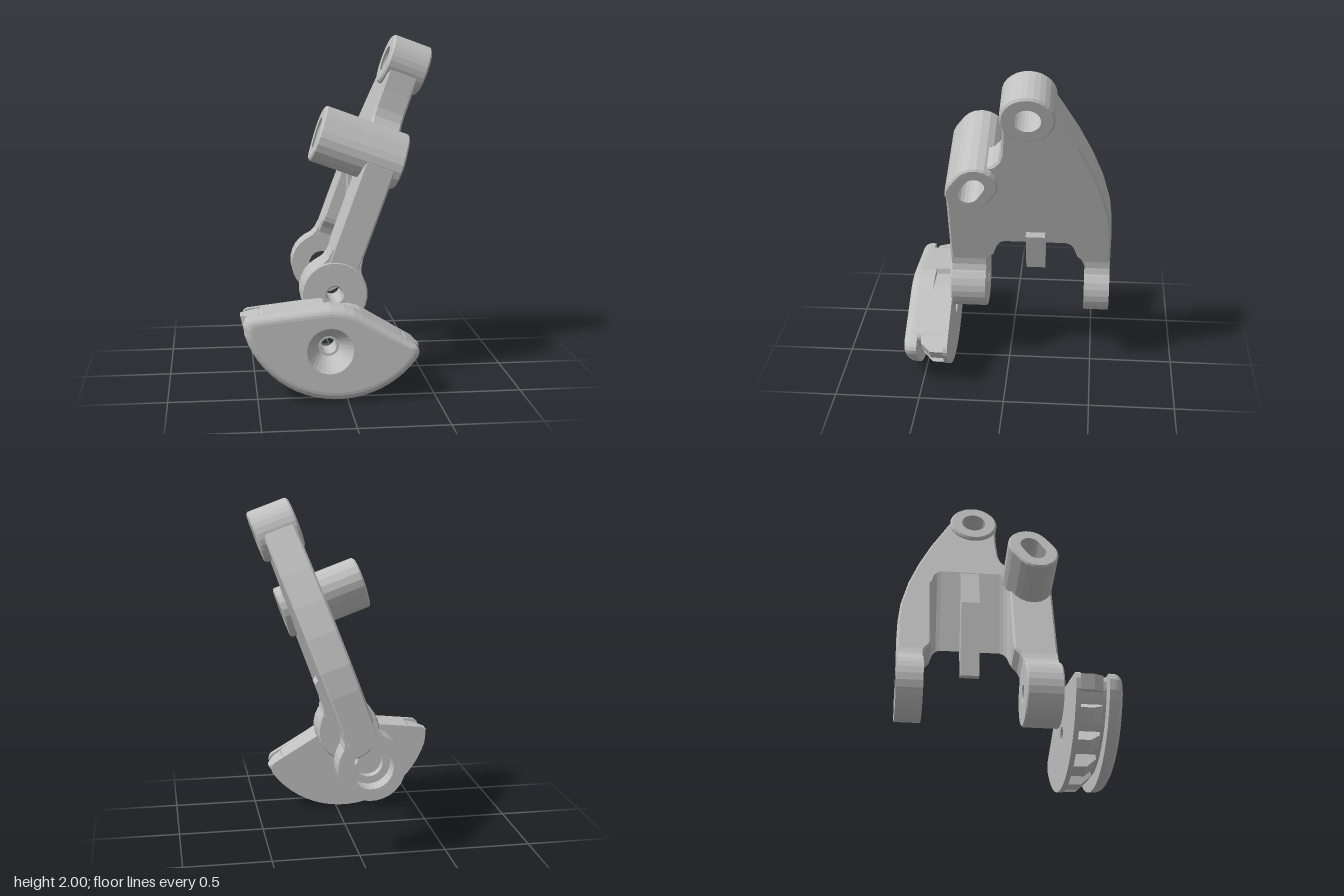
import * as THREE from 'three';

const TILT = THREE.MathUtils.degToRad(20);
const rad = THREE.MathUtils.degToRad;
const grey = new THREE.MeshStandardMaterial({ color: 0xc0c0c0, side: THREE.DoubleSide });
grey.name = 'light grey plastic';

function add(parent, name, geometry) {
  const mesh = new THREE.Mesh(geometry, grey);
  mesh.name = name;
  parent.add(mesh);
  return mesh;
}

const shapeOf = pts => new THREE.Shape(pts.map(p => new THREE.Vector2(p[0], p[1])));

function circle(x, y, r, n = 28) {
  return Array.from({ length: n }, (_, i) => {
    const a = (i / n) * Math.PI * 2;
    return [x + r * Math.cos(a), y + r * Math.sin(a)];
  });
}

// Stadium outline whose two end centres lie at c +/- d
function stadium(cx, cy, dx, dy, r, n = 9) {
  const base = Math.atan2(dy, dx), pts = [];
  for (const s of [0, 1]) for (let i = 0; i <= n; i++) {
    const a = base - Math.PI / 2 + s * Math.PI + (i / n) * Math.PI;
    const k = s ? -1 : 1;
    pts.push([cx + k * dx + r * Math.cos(a), cy + k * dy + r * Math.sin(a)]);
  }
  return pts;
}

// Extrude along z between z0 and z1, with a small chamfer
function alongZ(pts, holes, z0, z1, b = 0) {
  const shape = shapeOf(pts);
  shape.holes = holes.map(shapeOf);
  const g = new THREE.ExtrudeGeometry(shape, {
    depth: z1 - z0 - 2 * b, bevelEnabled: b > 0, bevelSize: b,
    bevelThickness: b, bevelOffset: -b, bevelSegments: 1, steps: 1,
  });
  return g.translate(0, 0, z0 + b);
}

// Extrude along x; outline points are given as [z, y]
function alongX(pts, holes, x0, x1, b = 0) {
  const flip = list => list.map(([z, y]) => [-z, y]);
  return alongZ(flip(pts), holes.map(flip), x0, x1, b).rotateY(Math.PI / 2);
}

// Surface through equal-length closed rings of [x, y, z], faceted
function loft(rings, capped) {
  const n = rings[0].length, idx = [];
  for (let i = 0; i < rings.length - 1; i++) for (let j = 0; j < n; j++) {
    const a = i * n + j, b = i * n + (j + 1) % n;
    idx.push(a, b, b + n, a, b + n, a + n);
  }
  if (capped) for (let j = 1; j < n - 1; j++) {
    const e = (rings.length - 1) * n;
    idx.push(0, j + 1, j, e, e + j, e + j + 1);
  }
  const g = new THREE.BufferGeometry();
  g.setAttribute('position', new THREE.Float32BufferAttribute(rings.flat(2), 3));
  g.setIndex(idx);
  const flat = g.toNonIndexed();
  flat.computeVertexNormals();
  return flat;
}

function buildArm() {
  const arm = new THREE.Group();
  arm.name = 'tiltedArm';
  arm.rotation.z = -TILT;
  const L = -0.333, R = -0.15;

  // Main plate with two legs
  const topArc = [];
  for (let a = 0; a <= 150; a += 15)
    topArc.push([-0.13 + 0.14 * Math.cos(rad(a)), 1.85 + 0.14 * Math.sin(rad(a))]);
  const plate = [
    [0.13, 0.63], [0.34, 0.63], [0.34, 1.27], [0.29, 1.36], [0.18, 1.43], [0.07, 1.48],
    [0.035, 1.52], [0.02, 1.57], [0.012, 1.68], ...topArc,
    [-0.283, 1.86], [-0.31, 1.81], [-0.4, 1.64], [-0.48, 1.46], [-0.54, 1.29], [-0.585, 1.1], [-0.6, 0.95],
    [-0.6, 0.63], [-0.45, 0.63], [-0.45, 0.69], [-0.435, 0.73], [-0.405, 0.77], [-0.4, 0.8],
    [-0.4, 1.4], [0.08, 1.4], [0.08, 0.8], [0.085, 0.77], [0.115, 0.73], [0.13, 0.69],
  ];
  add(arm, 'plate', alongX(plate,
    [circle(-0.13, 1.85, 0.11), stadium(0.19, 1.325, -0.025, 0.036, 0.095)], L, R, 0.012));

  // Thinning web between the legs, cut off by a vertical face at x = f(z)
  const web = [[-0.415, 0.125], [-0.398, 0.135], [-0.385, 0.15], [-0.365, 0.16], [-0.34, 0.164],
    [0.02, 0.164], [0.045, 0.16], [0.065, 0.15], [0.078, 0.135], [0.095, 0.125]];
  const s = Math.sin(TILT), c = Math.cos(TILT);
  add(arm, 'web', loft(web.map(([z, f]) =>
    [[L, (f - c * L) / s, z], [R, (f - c * R) / s, z], [R, 1.42, z], [L, 1.42, z]]), true));

  // Upright stop tab, vertical on its inner face
  add(arm, 'stopTab', alongZ([[-0.169, 0.684], [-0.127, 0.7], [-0.127, 0.955], [-0.152, 0.975],
    [-0.152, 1.4], [-0.331, 1.4], [-0.331, 1.134]], [], -0.22, -0.108));

  // Top eye and slotted sleeve
  add(arm, 'topEye', alongX(circle(-0.13, 1.85, 0.15), [circle(-0.13, 1.85, 0.086)], -0.355, -0.112, 0.012));
  add(arm, 'slottedSleeve', alongX(stadium(0.19, 1.325, -0.025, 0.036, 0.126),
    [stadium(0.19, 1.325, -0.02, 0.032, 0.067)], -0.627, -0.112, 0.01));

  // Pivot bosses at the leg ends
  const px = -0.235, py = 0.5;
  add(arm, 'frontPivot', alongZ(circle(px, py, 0.19), [circle(px, py, 0.045, 16)], 0.13, 0.345, 0.008));
  add(arm, 'rearPivot', alongZ(circle(px, py, 0.19), [circle(px, py, 0.122)], -0.6, -0.5));
  add(arm, 'rearPivotLip', alongZ(circle(px, py, 0.19), [circle(px, py, 0.08)], -0.5, -0.45));

  // Shoulders blending the legs into the bosses
  const shoulder = [[-0.376, 0.625], [-0.094, 0.625], [-0.125, 0.655], [-0.143, 0.69],
    [-0.151, 0.74], [-0.332, 0.74], [-0.338, 0.69], [-0.352, 0.655]];
  add(arm, 'frontShoulder', alongZ(shoulder, [], 0.132, 0.335));
  add(arm, 'rearShoulder', alongZ(shoulder, [], -0.597, -0.452));
  return arm;
}

// Sector-like outline of the head, swung about the front pivot
const HUB = [-0.05, 0.55];
const polar = (r, deg) => [HUB[0] + r * Math.cos(rad(deg)), HUB[1] + r * Math.sin(rad(deg))];

function headOutline(r, notched) {
  const pts = [];
  for (let i = 0; i <= 22; i++) pts.push(polar(r, -163 + (128 * i) / 22));
  pts.push(polar(r * 0.985, -32), polar(r * 0.955, -30.3), polar(r * 0.92, -29.6));
  pts.push([0.14, 0.45], [0.08, 0.488]);
  if (notched) pts.push([0.03, 0.5], [-0.12, 0.5], [-0.125, 0.535]);
  else pts.push([0.04, 0.51], [-0.02, 0.53], [-0.1, 0.54]);
  pts.push([-0.22, 0.528], polar(r * 0.92, -173.2), polar(r * 0.955, -172), polar(r * 0.985, -169));
  return pts;
}

function buildHead() {
  const head = new THREE.Group();
  head.name = 'head';
  const hx = -0.1, hy = 0.295;

  // Back flange and inset core
  add(head, 'backFlange', alongZ(headOutline(0.55, true), [circle(hx, hy, 0.045, 20)], 0.34, 0.368));
  add(head, 'core', alongZ(headOutline(0.46, true), [circle(hx, hy, 0.1)], 0.365, 0.46));
  add(head, 'coreFront', alongZ(headOutline(0.46, false), [circle(hx, hy, 0.1)], 0.46, 0.53));

  // Wedge teeth along the rim, closing the groove at both ends
  const count = 8, half = 0.042;
  for (let i = 0; i < count; i++) {
    const a = -167 + (132 * i) / (count - 1);
    const g = alongZ([[0.44, 0.365], [0.545, 0.365], [0.545, 0.44], [0.49, 0.498], [0.44, 0.498]],
      [], -half, half).rotateX(Math.PI / 2);
    const tooth = add(head, 'rimTooth', g);
    tooth.position.set(HUB[0], HUB[1], 0);
    tooth.rotation.z = rad(a);
  }

  // Rounded front cover
  const outline = headOutline(0.545, false);
  const inset = d => outline.map(([x, y]) => [
    -0.08 + (x + 0.08) * (1 - d / 0.49), 0.28 + (y - 0.28) * (1 - d / 0.27)]);
  const rings = [[0, 0.522], [0, 0.55]];
  for (let i = 1; i <= 5; i++) {
    const a = (i / 5) * Math.PI / 2;
    rings.push([0.05 * (1 - Math.cos(a)), 0.55 + 0.05 * Math.sin(a)]);
  }
  add(head, 'coverRim', loft(rings.map(([d, z]) => inset(d).map(([x, y]) => [x, y, z])), false));
  for (const [name, d, z, r] of [['coverFace', 0.05, 0.6, 0.13], ['coverBack', 0, 0.522, 0.1]]) {
    const shape = shapeOf(inset(d));
    shape.holes = [shapeOf(circle(hx, hy, r))];
    add(head, name, new THREE.ShapeGeometry(shape).translate(0, 0, z));
  }

  // Countersunk screw hole
  const sink = new THREE.LatheGeometry(
    [[0.045, 0.34], [0.045, 0.49], [0.058, 0.49], [0.13, 0.6]].map(p => new THREE.Vector2(...p)), 28);
  const flat = sink.rotateX(Math.PI / 2).toNonIndexed();
  flat.computeVertexNormals();
  add(head, 'countersink', flat.translate(hx, hy, 0));
  return head;
}

export function createModel() {
  const model = new THREE.Group();
  model.name = 'leverBracket';
  model.add(buildArm(), buildHead());
  return model;
}
